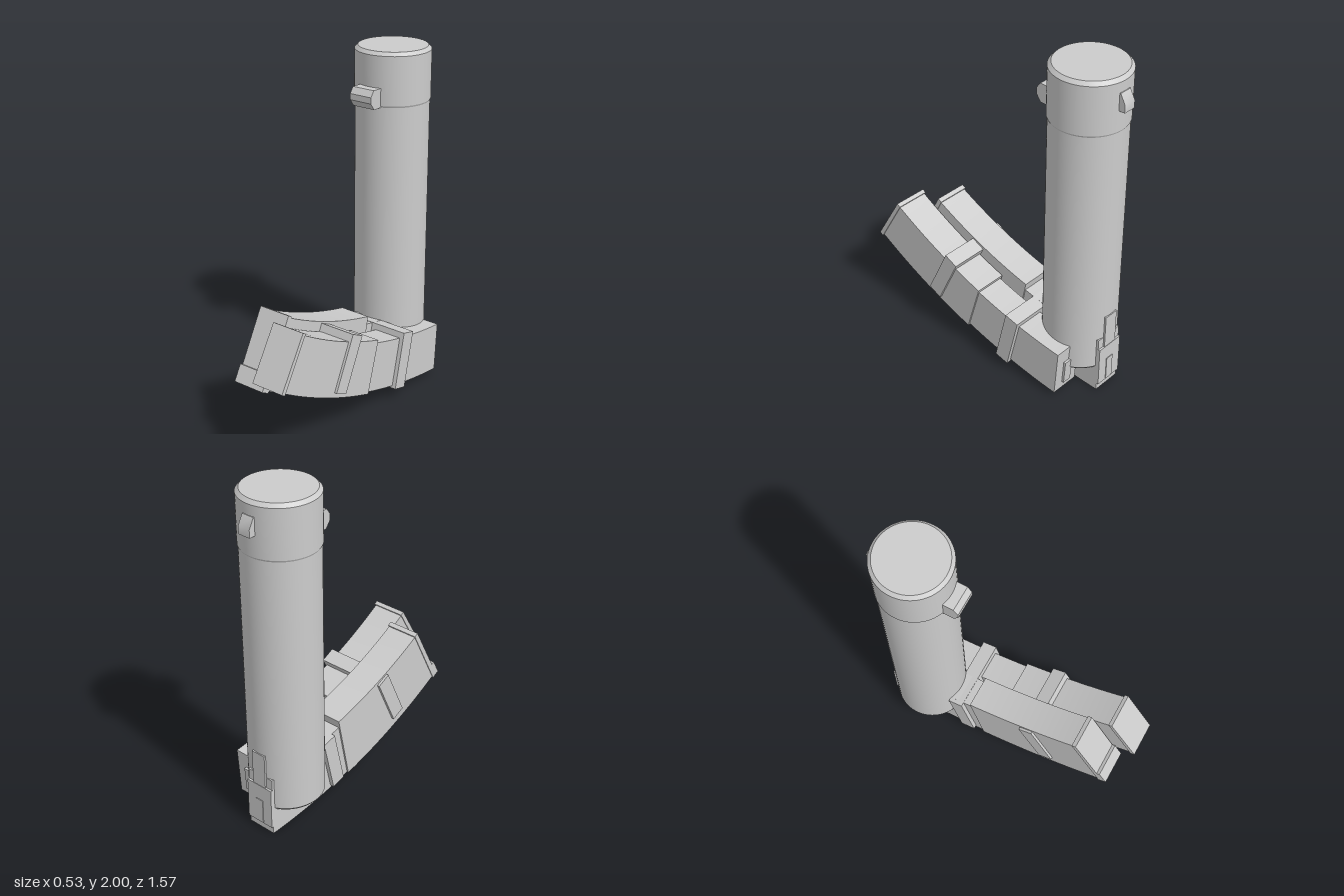
import * as THREE from 'three';
import { toCreasedNormals } from 'three/addons/utils/BufferGeometryUtils.js';

const grey = new THREE.MeshStandardMaterial({ color: 0xcccccc });
grey.name = 'light grey';

export function createModel() {
  const model = new THREE.Group();

  const add = (parent, name, geometry) => {
    const mesh = new THREE.Mesh(geometry, grey);
    mesh.name = name;
    parent.add(mesh);
    return mesh;
  };

  // Extrudes a side profile given in (z, y) across x0..x1
  const extrudeAcross = (shape, x0, x1) => {
    const g = new THREE.ExtrudeGeometry(shape, { depth: x1 - x0, bevelEnabled: false });
    g.rotateY(-Math.PI / 2);
    g.translate(x1, 0, 0);
    return toCreasedNormals(g, 0.5);
  };
  const polygon = (points) => new THREE.Shape(points.map(([z, y]) => new THREE.Vector2(z, y)));

  // Curved box: a ring sector around centre c, angles in degrees from straight down
  const sector = (c, rTop, rBottom, a0, a1, x0, x1) => {
    const points = [];
    const n = 16;
    const at = (r, t) => {
      const a = THREE.MathUtils.degToRad(a0 + (a1 - a0) * t);
      points.push([c[0] + r * Math.sin(a), c[1] - r * Math.cos(a)]);
    };
    for (let i = 0; i <= n; i++) at(rBottom, i / n);
    for (let i = n; i >= 0; i--) at(rTop, i / n);
    return extrudeAcross(polygon(points), x0, x1);
  };

  const box = (parent, name, size, position, tilt = 0) => {
    const mesh = add(parent, name, new THREE.BoxGeometry(...size));
    mesh.position.set(...position);
    mesh.rotation.x = THREE.MathUtils.degToRad(tilt);
    return mesh;
  };

  // Tall tube with a thicker, bevelled top collar
  const tube = new THREE.Group();
  tube.name = 'tube';
  tube.position.set(-0.052, 0, -0.537);
  model.add(tube);
  const profile = [[0, 0.16], [0.2, 0.16], [0.212, 0.175], [0.212, 1.69], [0.217, 1.7],
    [0.217, 1.98], [0.198, 2], [0, 2]].map(([r, y]) => new THREE.Vector2(r, y));
  add(tube, 'tubeBody', toCreasedNormals(new THREE.LatheGeometry(profile, 64), 0.4));

  // Lugs near the top of the tube
  add(model, 'frontLug', extrudeAcross(polygon([[-0.36, 1.69], [-0.275, 1.69], [-0.245, 1.73],
    [-0.245, 1.765], [-0.27, 1.8], [-0.36, 1.8]]), -0.125, 0.02));
  add(model, 'rearLug', extrudeAcross(polygon([[-0.72, 1.82], [-0.72, 1.925], [-0.757, 1.92],
    [-0.787, 1.865], [-0.787, 1.82]]), -0.09, -0.015));

  // Left curved magazine
  const left = new THREE.Group();
  left.name = 'leftMagazine';
  model.add(left);
  const cl = [-0.83, 3.177];
  add(left, 'rearBody', sector(cl, 2.86, 3.15, 4, 16.4, 0.066, 0.24));
  add(left, 'frontBody', sector(cl, 2.84, 3.158, 16.2, 30.2, 0.055, 0.25));
  add(left, 'endCap', sector(cl, 2.83, 3.168, 30.1, 30.6, 0.05, 0.256));
  box(left, 'rearTab', [0.055, 0.15, 0.02], [0.153, 0.155, -0.622], -4);

  // Right curved magazine
  const right = new THREE.Group();
  right.name = 'rightMagazine';
  model.add(right);
  const cr = [-0.745, 3.055];
  add(right, 'rearBody', sector(cr, 2.69, 3.05, 0, 11.9, -0.14, 0.034));
  add(right, 'frontBody', sector(cr, 2.64, 3.05, 11.7, 27.5, -0.15, 0.042));
  add(right, 'endCap', sector(cr, 2.63, 3.06, 27.3, 27.9, -0.155, 0.046));
  add(right, 'endCapLip', sector(cr, 2.96, 3.06, 27.8, 28.3, -0.155, 0.046));
  box(right, 'rearPlate', [0.174, 0.25, 0.014], [-0.053, 0.175, -0.75]);
  box(right, 'rearTab', [0.05, 0.15, 0.014], [-0.053, 0.13, -0.754]);
  box(right, 'upperTab', [0.09, 0.22, 0.02], [-0.053, 0.4, -0.745]);

  // Two bands clamping the magazines together
  const clamps = [['rearClamp', 0.34, [0.05, 0.235, -0.267], -13], ['frontClamp', 0.335, [0.05, 0.412, 0.238], -25]];
  for (const [name, height, position, tilt] of clamps) {
    box(model, name, [0.43, height, 0.09], position, tilt);
  }

  return model;
}
